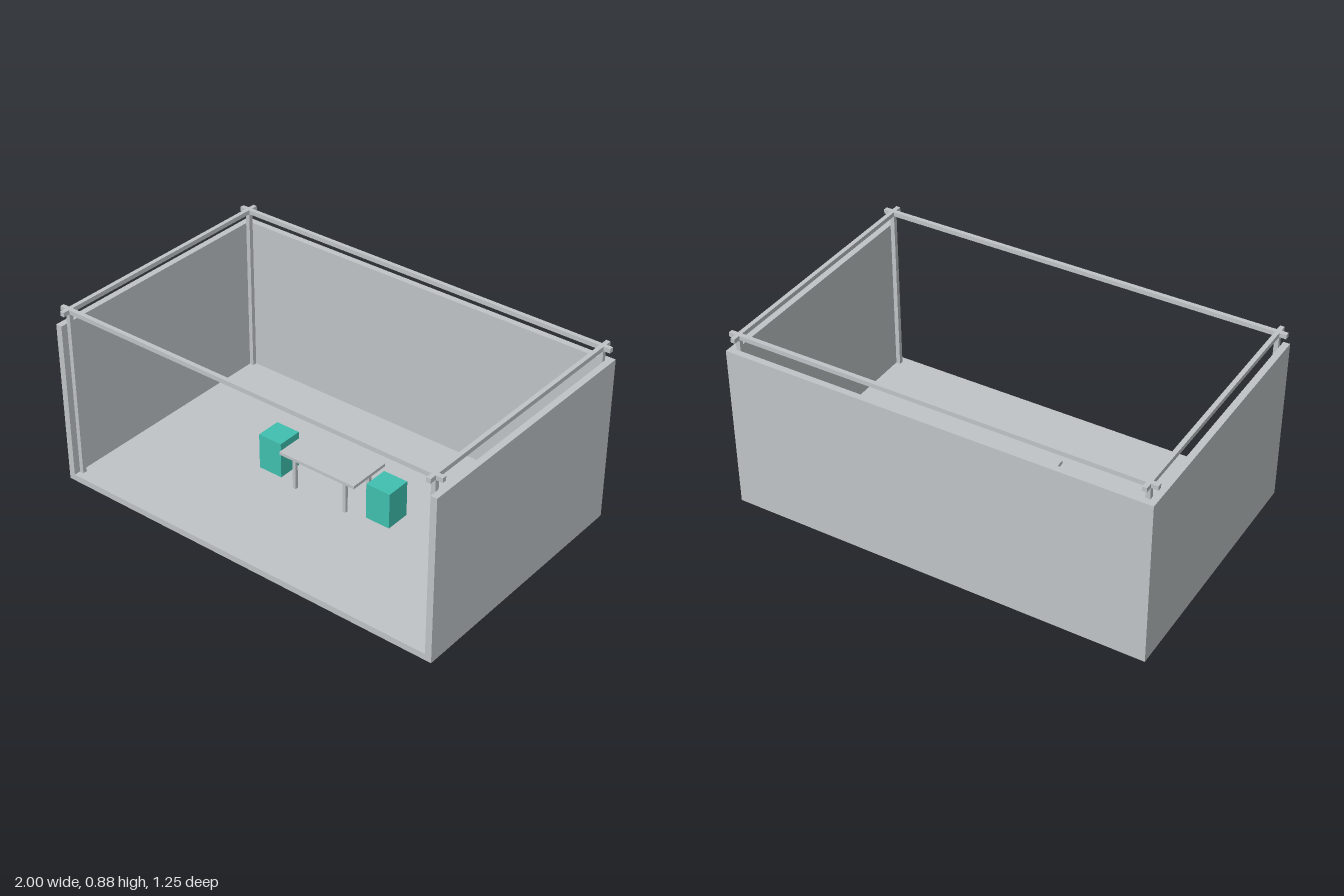
import * as THREE from 'three';

export function createModel() {
  const model = new THREE.Group();
  model.name = 'openRoom';

  const grey = new THREE.MeshStandardMaterial({ color: 0xc0c4c7 });
  grey.name = 'light grey';
  const teal = new THREE.MeshStandardMaterial({ color: 0x40c0b0 });
  teal.name = 'teal';

  // Box given by its centre in x and z and its bottom in y
  function box(parent, name, material, [w, h, d], [x, y, z]) {
    const mesh = new THREE.Mesh(new THREE.BoxGeometry(w, h, d), material);
    mesh.name = name;
    mesh.position.set(x, y + h / 2, z);
    parent.add(mesh);
  }

  const W = 2, D = 1.246, wallTop = 0.8, T = 0.031; // room size and wall thickness
  const bar = 0.021, barTop = 0.875;
  const barX = W / 2 - T - bar / 2 - 0.001;
  const barZ = D / 2 - T - bar / 2 - 0.001;

  // Floor and three walls, open at the front
  box(model, 'floor', grey, [W, T, D], [0, 0, 0]);
  box(model, 'backWall', grey, [W - 2 * T, wallTop - T, T], [0, T, -(D - T) / 2]);
  for (const s of [-1, 1]) {
    box(model, s > 0 ? 'leftWall' : 'rightWall', grey, [T, wallTop - T, D], [s * (W - T) / 2, T, 0]);
  }

  // Frame of corner posts and crossing top rails
  const frame = new THREE.Group();
  frame.name = 'railFrame';
  model.add(frame);
  for (const s of [-1, 1]) {
    box(frame, 'longRail', grey, [W, bar, bar], [0, barTop - bar, s * barZ]);
    box(frame, 'sideRail', grey, [bar, bar, D], [s * barX, barTop - bar, 0]);
    for (const t of [-1, 1]) {
      box(frame, 'cornerPost', grey, [bar, barTop - bar - T, bar], [s * barX, T, t * barZ]);
    }
  }

  // Table
  const table = new THREE.Group();
  table.name = 'table';
  model.add(table);
  const tableTop = 0.208, slab = 0.015;
  box(table, 'tableTop', grey, [0.414, slab, 0.218], [0, tableTop - slab, 0]);
  for (const s of [-1, 1]) {
    for (const t of [-1, 1]) {
      box(table, 'tableLeg', grey, [0.016, tableTop - slab - T, 0.016], [s * 0.14, T, t * 0.083]);
    }
  }

  // Block seats at both ends of the table
  for (const s of [-1, 1]) {
    box(model, s > 0 ? 'leftSeat' : 'rightSeat', teal, [0.125, 0.178, 0.125], [s * 0.301, T, 0]);
  }

  return model;
}
